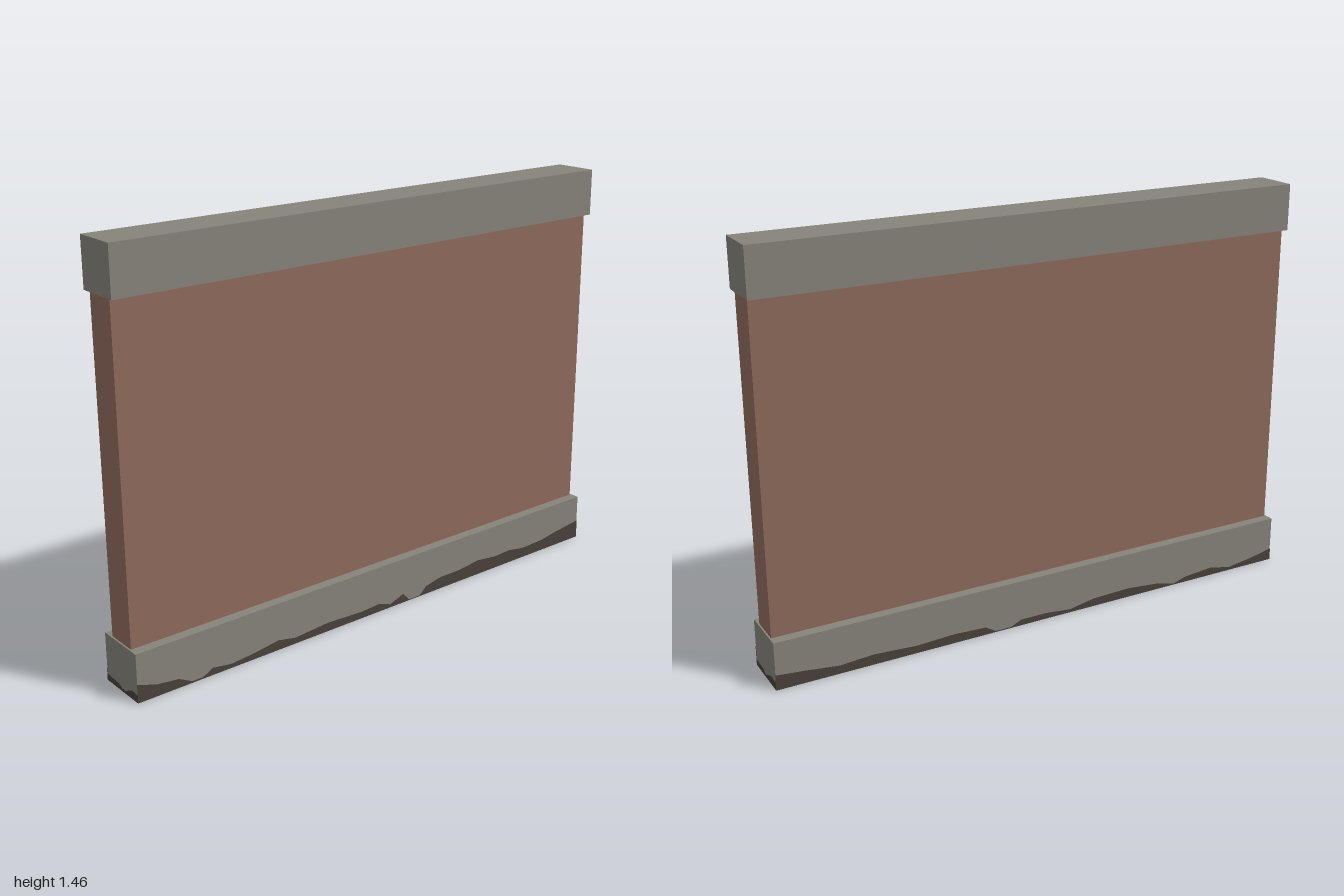
import * as THREE from 'three';

const material = (name, color, side = THREE.FrontSide) => {
  const m = new THREE.MeshStandardMaterial({ color, side });
  m.name = name;
  return m;
};

export function createModel() {
  const model = new THREE.Group();
  model.name = 'wallSection';
  const stone = material('stone', 0x86837a);
  const brick = material('brick', 0x8f6a5b);
  const dirt = material('dirt', 0x4a413a, THREE.DoubleSide);

  const block = (name, mat, width, depth, y0, y1) => {
    const mesh = new THREE.Mesh(new THREE.BoxGeometry(width, y1 - y0, depth), mat);
    mesh.position.y = (y0 + y1) / 2;
    mesh.name = name;
    model.add(mesh);
  };
  block('base', stone, 1.998, 0.188, 0.001, 0.17);
  block('wall', brick, 1.986, 0.114, 0.17, 1.29);
  block('cap', stone, 2, 0.16, 1.29, 1.455);

  // Ragged dirt stain: pairs of (distance along the edge, height)
  const stain = (name, profile, place) => {
    const first = profile[0][0], last = profile[profile.length - 1][0];
    const points = [[first, 0], [last, 0], ...[...profile].reverse()];
    const shape = new THREE.Shape(points.map(([x, y]) => new THREE.Vector2(x, y)));
    const mesh = new THREE.Mesh(new THREE.ShapeGeometry(shape), dirt);
    mesh.name = name;
    place(mesh);
    model.add(mesh);
  };

  stain('frontDirt', [
    [-1, 0.065], [-0.93, 0.042], [-0.85, 0.032], [-0.8, 0.006], [-0.76, 0.006], [-0.72, 0.026],
    [-0.65, 0.015], [-0.56, 0.022], [-0.46, 0.036], [-0.39, 0.022], [-0.25, 0.032], [-0.1, 0.025],
    [-0.02, 0.03], [0.03, 0.012], [0.09, 0.034], [0.12, 0.003], [0.17, 0.003], [0.2, 0.03],
    [0.27, 0.045], [0.36, 0.045], [0.46, 0.056], [0.55, 0.046], [0.62, 0.05], [0.7, 0.038],
    [0.8, 0.042], [0.88, 0.055], [1, 0.07],
  ], (m) => m.position.set(0, 0, 0.095));

  stain('backDirt', [
    [-1, 0.055], [-0.9, 0.045], [-0.78, 0.03], [-0.66, 0.038], [-0.5, 0.028], [-0.36, 0.034],
    [-0.24, 0.028], [-0.2, 0.004], [-0.14, 0.004], [-0.1, 0.022], [0, 0.022], [0.1, 0.012],
    [0.2, 0.03], [0.35, 0.034], [0.48, 0.022], [0.55, 0.004], [0.6, 0.02], [0.72, 0.03],
    [0.8, 0.012], [0.9, 0.025], [1, 0.045],
  ], (m) => { m.position.set(0, 0, -0.095); m.rotation.y = Math.PI; });

  stain('rightDirt', [
    [-0.095, 0.028], [-0.06, 0.03], [-0.04, 0.022], [-0.02, 0.01], [0, 0.01], [0.02, 0.02],
    [0.06, 0.022], [0.095, 0.025],
  ].map(([x, y]) => [x, y]), (m) => { m.position.x = -1; m.rotation.y = -Math.PI / 2; m.scale.x = -1; });

  stain('leftDirt', [
    [-0.095, 0.03], [-0.05, 0.032], [-0.02, 0.02], [0, 0.01], [0.03, 0.02], [0.07, 0.022], [0.095, 0.022],
  ].map(([x, y]) => [x, y]), (m) => { m.position.x = 1; m.rotation.y = Math.PI / 2; m.scale.x = -1; });

  // Underside stains, a wide one along the front and a narrow one along the back
  const underside = (name, depth, z, dir) => {
    const profile = [];
    for (let i = 0; i <= 32; i++) {
      const wobble = 0.75 + 0.25 * Math.sin(i * 1.7) * Math.cos(i * 0.6);
      profile.push([-1 + i / 16, dir * depth * wobble]);
    }
    stain(name, profile, (m) => { m.position.z = z; m.rotation.x = Math.PI / 2; });
  };
  underside('undersideFrontDirt', 0.08, 0.095, -1);
  underside('undersideBackDirt', 0.012, -0.095, 1);

  return model;
}
